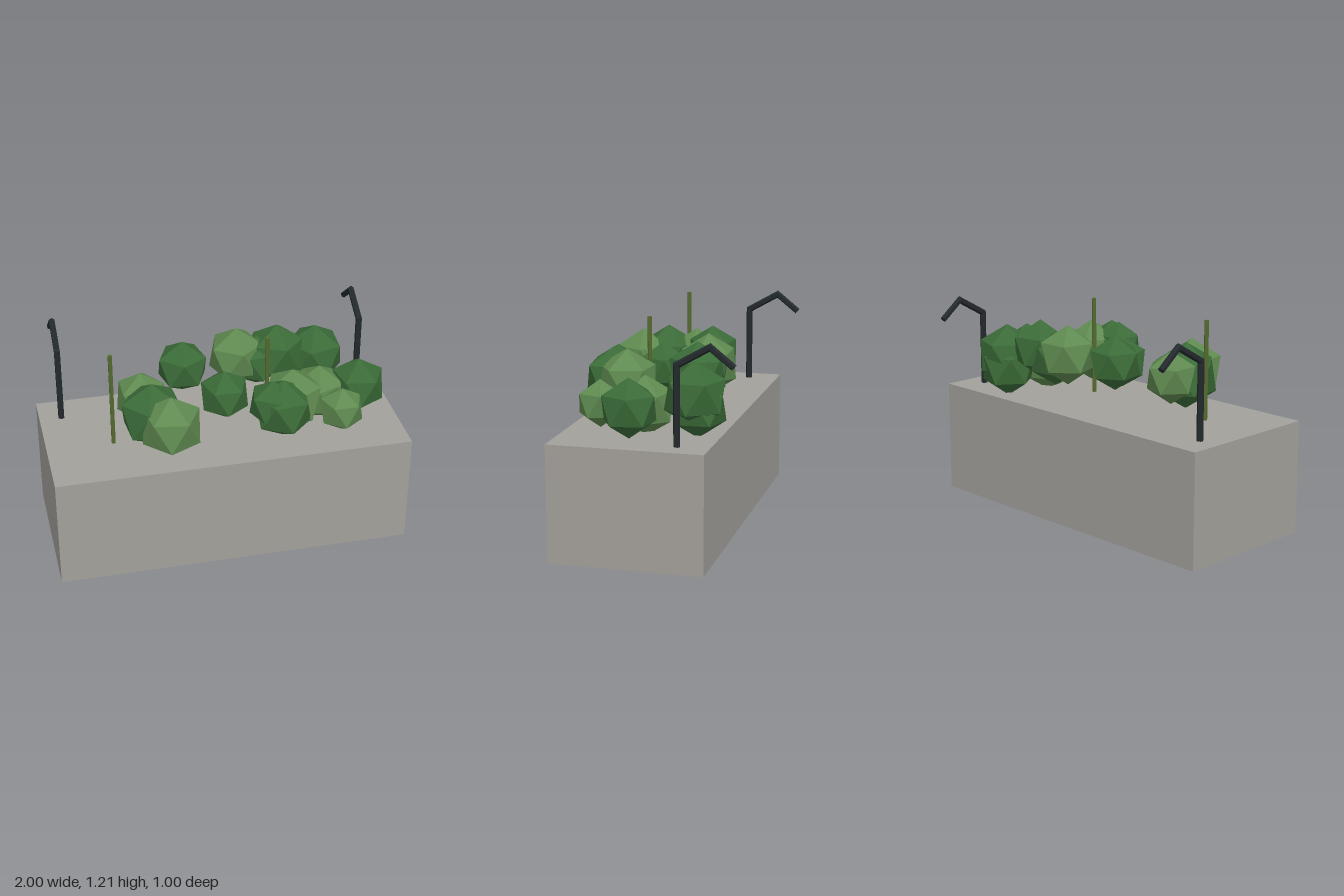
import * as THREE from 'three';

const mat = (color) => new THREE.MeshStandardMaterial({ color, flatShading: true });

// Hexagonal bar swept along a (y, z) path with mitred bends
function bentBar(path, r) {
  const last = path.length - 1;
  const geo = new THREE.CylinderGeometry(r, r, last, 6, last);
  const pts = path.map(([y, z]) => new THREE.Vector2(z, y));
  const dir = (i) => pts[i + 1].clone().sub(pts[i]).normalize();
  const pos = geo.attributes.position;
  for (let v = 0; v < pos.count; v++) {
    const i = Math.round(pos.getY(v) + last / 2);
    const a = dir(Math.max(i - 1, 0)), b = dir(Math.min(i, last - 1));
    const t = a.clone().add(b).normalize();
    const offset = pos.getZ(v) / t.dot(a);
    pos.setXYZ(v, pos.getX(v), pts[i].y - t.x * offset, pts[i].x + t.y * offset);
  }
  geo.computeVertexNormals();
  return geo;
}

export function createModel() {
  const model = new THREE.Group();
  const add = (name, geo, material, x = 0, y = 0, z = 0) => {
    const mesh = new THREE.Mesh(geo, material);
    mesh.name = name;
    mesh.position.set(x, y, z);
    model.add(mesh);
    return mesh;
  };
  const stone = mat(0xa3a09b), dark = mat(0x3b6b38), light = mat(0x5f8a50);
  const bark = mat(0x556b2f), iron = mat(0x23292d);

  // Solid planter block
  add('planter', new THREE.BoxGeometry(2, 0.65, 0.85), stone, 0, 0.325, 0.06);

  // Faceted bushes: x, y, z, radius, material
  const bushes = [
    [-0.45, 0.875, 0.04, 0.15, light],
    [-0.415, 0.855, 0.2, 0.19, dark],
    [-0.335, 0.85, 0.335, 0.182, light],
    [-0.18, 0.94, -0.125, 0.155, dark],
    [0.01, 0.875, 0.12, 0.148, dark],
    [0.145, 0.94, -0.18, 0.172, light],
    [0.26, 0.9, -0.17, 0.155, dark],
    [0.38, 0.94, -0.175, 0.17, dark],
    [0.62, 0.87, -0.22, 0.182, dark],
    [0.6, 0.8, -0.235, 0.168, dark],
    [0.57, 0.785, 0.065, 0.168, light],
    [0.795, 0.82, 0.09, 0.164, dark],
    [0.37, 0.87, 0.225, 0.18, light],
    [0.64, 0.8, 0.295, 0.132, light],
    [0.235, 0.905, 0.315, 0.14, dark],
    [0.295, 0.87, 0.32, 0.175, dark],
  ];
  // Icosahedron turned so that one corner points straight up
  const ball = new THREE.IcosahedronGeometry(1, 0);
  ball.rotateZ(-Math.atan(2 / (1 + Math.sqrt(5))));
  bushes.forEach(([x, y, z, r, material], i) => {
    const bush = add('bush', ball, material, x, y, z);
    bush.scale.setScalar(r);
    bush.rotation.y = i * 0.7;
  });

  // Thin plant stakes
  const stake = new THREE.CylinderGeometry(0.0125, 0.0125, 0.56, 6);
  for (const x of [-0.625, 0.25]) add('stake', stake, bark, x, 0.93, 0.13);

  // Bent lamp posts leaning out over the back
  const post = bentBar([[0.65, -0.19], [1.08, -0.19], [1.18, -0.365], [1.08, -0.49]], 0.0185);
  for (const side of [-1, 1]) add('lampPost', post, iron, side * 0.875);

  return model;
}
